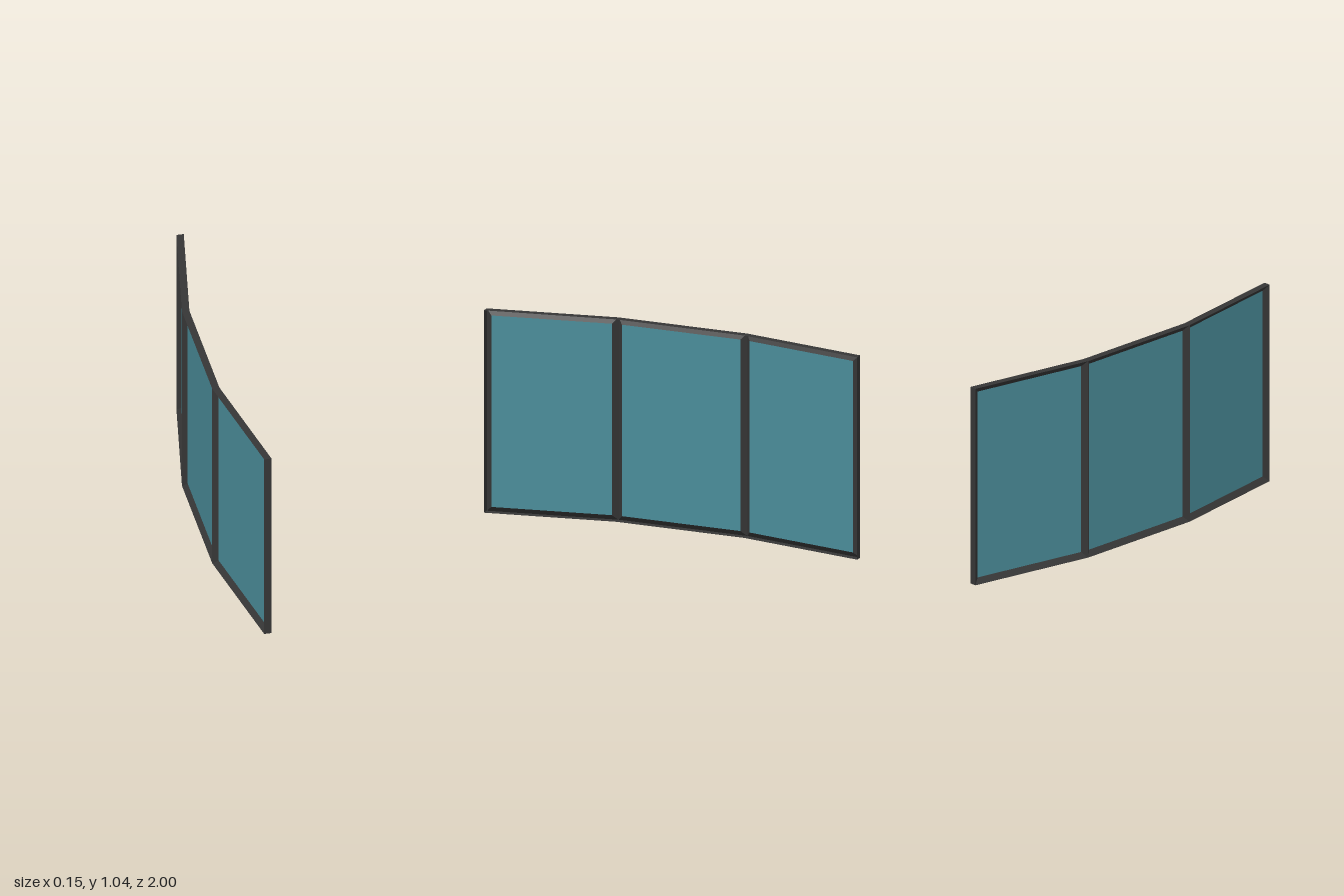
import * as THREE from 'three';

const H = 1.04, BAR = 0.028, GLASS_DEPTH = 0.023;

// plan outlines of the three-panel screen as [x, z]: convex and concave edges
const convex = [[0.04, 1], [-0.077, 0.345], [-0.077, -0.345], [0.04, -1]];
const concave = [[0.077, 1], [-0.04, 0.342], [-0.04, -0.342], [0.077, -1]];

const at = ([x, z], y) => new THREE.Vector3(x, y, z);

// flat-shaded mesh from a list of four-cornered faces
function quadMesh(name, quads, material) {
  const points = quads.flatMap(([a, b, c, d]) => [a, b, c, a, c, d]);
  const geometry = new THREE.BufferGeometry().setFromPoints(points);
  geometry.computeVertexNormals();
  const mesh = new THREE.Mesh(geometry, material);
  mesh.name = name;
  return mesh;
}

export function createModel() {
  const frame = new THREE.MeshStandardMaterial({ color: 0x363636, side: THREE.DoubleSide });
  const glass = new THREE.MeshStandardMaterial({ color: 0x4a8c99, side: THREE.DoubleSide });
  const model = new THREE.Group();
  model.name = 'foldedWindow';

  for (let i = 0; i < 3; i++) {
    const panel = new THREE.Group();
    panel.name = ['frontPanel', 'middlePanel', 'backPanel'][i];
    const [p, q, r, s] = [convex[i], convex[i + 1], concave[i], concave[i + 1]];

    // outer corners of the panel and the inset, recessed glass corners
    const outer = [at(p, 0), at(q, 0), at(q, H), at(p, H)];
    const along = outer[1].clone().sub(outer[0]).normalize();
    const inward = new THREE.Vector3(-along.z, 0, along.x);
    const inner = outer.map((v, k) => v.clone()
      .addScaledVector(along, k === 0 || k === 3 ? BAR : -BAR)
      .addScaledVector(inward, GLASS_DEPTH)
      .add(new THREE.Vector3(0, k < 2 ? BAR : -BAR, 0)));

    // mitred bars sloping from the outer edge to the glass
    const bars = outer.map((v, k) => {
      const n = (k + 1) % 4;
      return [v, outer[n], inner[n], inner[k]];
    });
    panel.add(quadMesh('bevelledBars', bars, frame));

    // thin rim along the top and bottom
    panel.add(quadMesh('rim', [
      [at(p, H), at(r, H), at(s, H), at(q, H)],
      [at(p, 0), at(q, 0), at(s, 0), at(r, 0)],
    ], frame));

    panel.add(quadMesh('glassPane', [inner], glass));
    model.add(panel);
  }

  // end rims closing the outer edges
  for (const i of [0, 3]) {
    const [a, b] = i === 0 ? [convex[0], concave[0]] : [concave[3], convex[3]];
    model.add(quadMesh(i === 0 ? 'frontEndRim' : 'backEndRim',
      [[at(a, 0), at(b, 0), at(b, H), at(a, H)]], frame));
  }
  return model;
}
